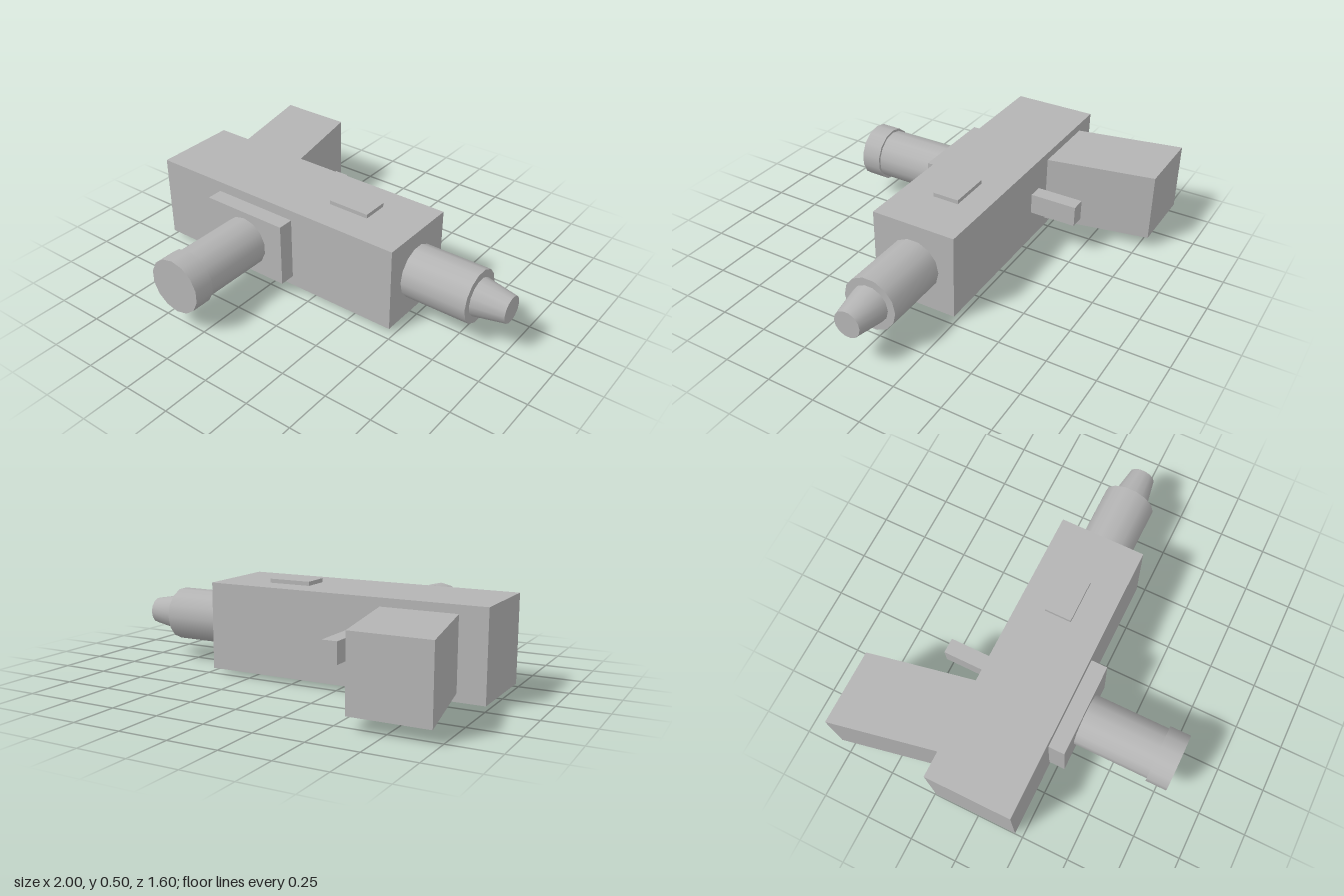
import * as THREE from 'three';

export function createModel() {
  const model = new THREE.Group();
  const grey = new THREE.MeshStandardMaterial({ color: 0xb4b4b4 });
  grey.name = 'grey';

  const add = (name, geometry) => {
    const mesh = new THREE.Mesh(geometry, grey);
    mesh.name = name;
    model.add(mesh);
    return mesh;
  };
  // Box given by its limits on each axis
  const box = (name, [x0, x1], [y0, y1], [z0, z1]) =>
    add(name, new THREE.BoxGeometry(x1 - x0, y1 - y0, z1 - z0))
      .position.set((x0 + x1) / 2, (y0 + y1) / 2, (z0 + z1) / 2);
  const SIDES = 14;
  const MID_Y = 0.25;
  // Round part along +x, from x0 to x1
  const roundX = (name, x0, x1, r0, r1) => {
    const g = new THREE.CylinderGeometry(r1, r0, x1 - x0, SIDES).rotateZ(-Math.PI / 2);
    add(name, g).position.set((x0 + x1) / 2, MID_Y, -0.015);
  };
  // Round part along +z, from z0 to z1
  const roundZ = (name, z0, z1, r) => {
    const g = new THREE.CylinderGeometry(r, r, z1 - z0, SIDES).rotateX(Math.PI / 2);
    add(name, g).position.set(-0.37, MID_Y, (z0 + z1) / 2);
  };

  // Main body with small plates above and below
  box('body', [-1, 0.475], [0.025, 0.475], [-0.24, 0.21]);
  box('topPlate', [-0.015, 0.21], [0.475, 0.496], [-0.1, 0.04]);
  box('bottomPlate', [-0.015, 0.21], [0, 0.025], [-0.1, 0.04]);

  // Barrel and tapered nozzle
  roundX('barrel', 0.475, 0.83, 0.14, 0.14);
  roundX('nozzle', 0.83, 1, 0.1, 0.07);

  // Front mount with capped tube
  box('mount', [-0.61, -0.13], [0.08, 0.42], [0.21, 0.295]);
  roundZ('tube', 0.295, 0.69, 0.134);
  roundZ('tubeCap', 0.69, 0.8, 0.147);

  // Trigger and slanted grip at the back
  box('trigger', [-0.38, -0.3], [0.195, 0.305], [-0.49, -0.24]);
  const outline = new THREE.Shape([
    [-0.86, 0.24], [-0.47, 0.24], [-0.58, 0.8], [-0.97, 0.8],
  ].map(([x, y]) => new THREE.Vector2(x, y)));
  const grip = new THREE.ExtrudeGeometry(outline, { depth: 0.365, bevelEnabled: false });
  add('grip', grip.rotateX(-Math.PI / 2)).position.y = 0.067;

  return model;
}
